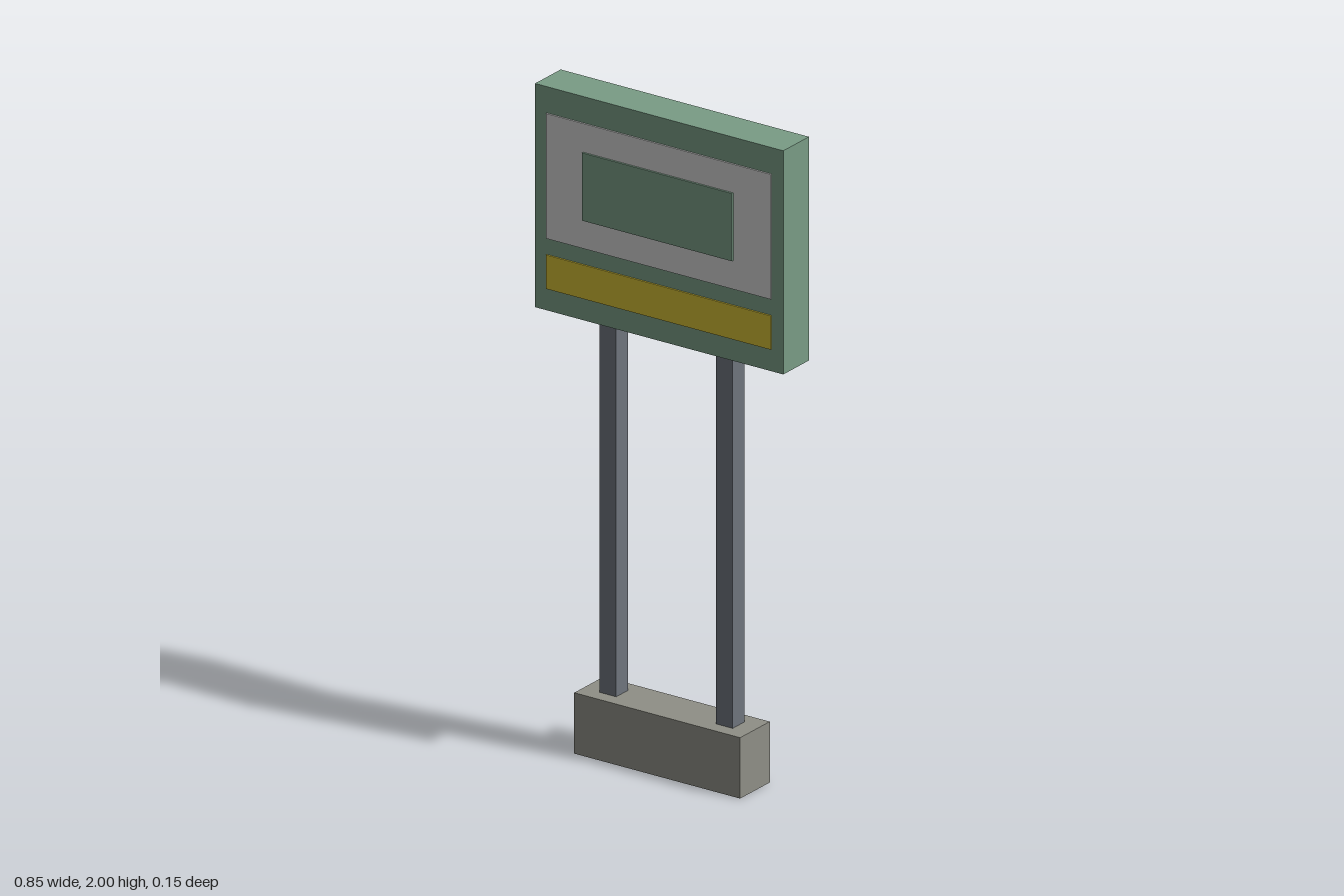
import * as THREE from 'three';

const mat = (name, color, side = THREE.FrontSide) => {
  const m = new THREE.MeshStandardMaterial({ color, side });
  m.name = name;
  return m;
};

export function createModel() {
  const green = mat('sage green', 0x799c85);
  const white = mat('pale grey', 0xcfcfcf);
  const yellow = mat('mustard yellow', 0xd0ba34);
  const steel = mat('steel grey', 0x6e747d);
  const concrete = mat('concrete', 0x8f8f86, THREE.DoubleSide);

  const model = new THREE.Group();
  model.name = 'signpost';

  // Box given by width, bottom and top heights, depth and centre offsets
  const box = (name, material, w, y0, y1, d, x = 0, z = 0) => {
    const mesh = new THREE.Mesh(new THREE.BoxGeometry(w, y1 - y0, d), material);
    mesh.name = name;
    mesh.position.set(x, (y0 + y1) / 2, z);
    model.add(mesh);
    return mesh;
  };

  // Hollow footing, open underneath: drop the bottom face of the box
  const footing = box('footing', concrete, 0.57, 0, 0.185, 0.144);
  const index = Array.from(footing.geometry.index.array);
  index.splice(18, 6);
  footing.geometry.setIndex(index);
  footing.geometry.clearGroups();

  // Two square posts
  for (const side of [1, -1]) {
    box(side > 0 ? 'leftPost' : 'rightPost', steel, 0.057, 0.185, 1.32, 0.057, side * 0.2);
  }

  // Sign board
  const half = 0.0625;
  box('signBoard', green, 0.853, 1.32, 2, half * 2);

  // Raised plates, the same on both faces
  for (const [face, s] of [['front', 1], ['back', -1]]) {
    const plate = (name, material, w, y0, y1, from, to) =>
      box(face + name, material, w, y0, y1, to - from, 0, s * (from + to) / 2);
    plate('Panel', white, 0.772, 1.54, 1.92, half, 0.067);
    plate('PanelCentre', green, 0.516, 1.627, 1.833, 0.067, 0.073);
    plate('Stripe', yellow, 0.772, 1.387, 1.49, half, 0.067);
  }

  return model;
}
